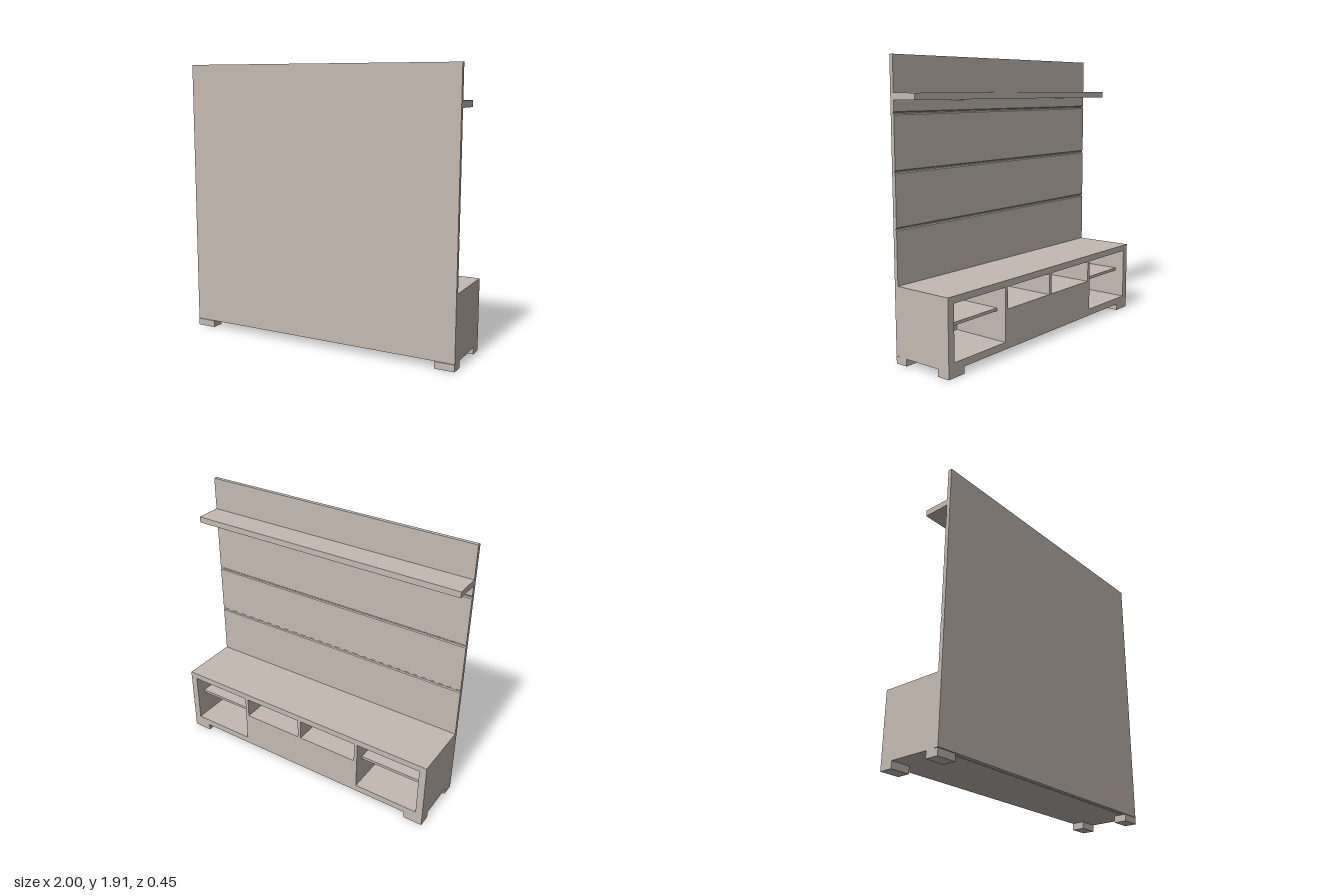
import * as THREE from 'three';

export function createModel() {
  const model = new THREE.Group();
  model.name = 'mediaUnit';
  const wood = new THREE.MeshStandardMaterial({ color: 0xc4bab2 });
  wood.name = 'paleWood';

  const FRONT = -0.227, BACK = 0.227, WALL = 0.2; // the open side faces -z

  // box given by its limits on each axis
  function board(name, x0, x1, y0, y1, z0, z1, parent = model) {
    const mesh = new THREE.Mesh(new THREE.BoxGeometry(x1 - x0, y1 - y0, z1 - z0), wood);
    mesh.position.set((x0 + x1) / 2, (y0 + y1) / 2, (z0 + z1) / 2);
    mesh.name = name;
    parent.add(mesh);
    return mesh;
  }

  // back panel: side profile with three shallow grooves, run across the width
  const profile = new THREE.Shape();
  profile.moveTo(BACK, 0.05);
  profile.lineTo(BACK, 1.91);
  profile.lineTo(WALL, 1.91);
  for (const y of [1.56, 1.206, 0.855]) {
    profile.lineTo(WALL, y + 0.01);
    profile.lineTo(WALL + 0.007, y + 0.004);
    profile.lineTo(WALL + 0.007, y - 0.004);
    profile.lineTo(WALL, y - 0.01);
  }
  profile.lineTo(WALL, 0.05);
  profile.closePath();
  const panelGeo = new THREE.ExtrudeGeometry(profile, { depth: 2, bevelEnabled: false });
  panelGeo.rotateY(-Math.PI / 2).translate(1, 0, 0);
  const panel = new THREE.Mesh(panelGeo, wood);
  panel.name = 'backPanel';
  model.add(panel);

  // high shelf with two round lamps underneath
  board('wallShelf', -1, 1, 1.64, 1.682, 0.018, WALL);
  for (const x of [-0.55, 0.55]) {
    const lamp = new THREE.Mesh(new THREE.CylinderGeometry(0.037, 0.037, 0.008, 32), wood);
    lamp.position.set(x, 1.637, 0.11);
    lamp.name = 'shelfLamp';
    model.add(lamp);
  }

  // cabinet carcass
  const cabinet = new THREE.Group();
  cabinet.name = 'cabinet';
  model.add(cabinet);
  board('cabinetTop', -1, 1, 0.456, 0.5, FRONT, WALL, cabinet);
  board('cabinetBase', -1, 1, 0.047, 0.094, FRONT, WALL, cabinet);
  for (const s of [-1, 1]) {
    const side = board('cabinetSide', -0.025, 0.025, 0.094, 0.456, FRONT, WALL, cabinet);
    side.position.x = s * 0.975;
    const divider = board('divider', -0.012, 0.012, 0.094, 0.456, FRONT, WALL, cabinet);
    divider.position.x = s * 0.468;
    // set-back shelf in the outer bay
    const shelf = board('baySelf', -0.235, 0.235, 0.29, 0.31, FRONT + 0.07, WALL, cabinet);
    shelf.position.x = s * 0.715;
    shelf.name = 'bayShelf';
    // drawer front below the inner bay
    const drawer = board('drawerFront', -0.228, 0.228, 0.094, 0.31, FRONT, FRONT + 0.022, cabinet);
    drawer.position.x = s * 0.228;
  }
  board('centreDivider', -0.012, 0.012, 0.31, 0.456, FRONT, WALL, cabinet);
  board('innerShelf', -0.456, 0.456, 0.288, 0.31, FRONT + 0.022, WALL, cabinet);

  // four feet at the corners
  for (const s of [-1, 1]) {
    for (const z of [FRONT + 0.045, BACK - 0.045]) {
      const foot = board('foot', -0.068, 0.068, 0, 0.047, -0.045, 0.045);
      foot.position.x = s * 0.932;
      foot.position.z = z;
    }
  }
  return model;
}
